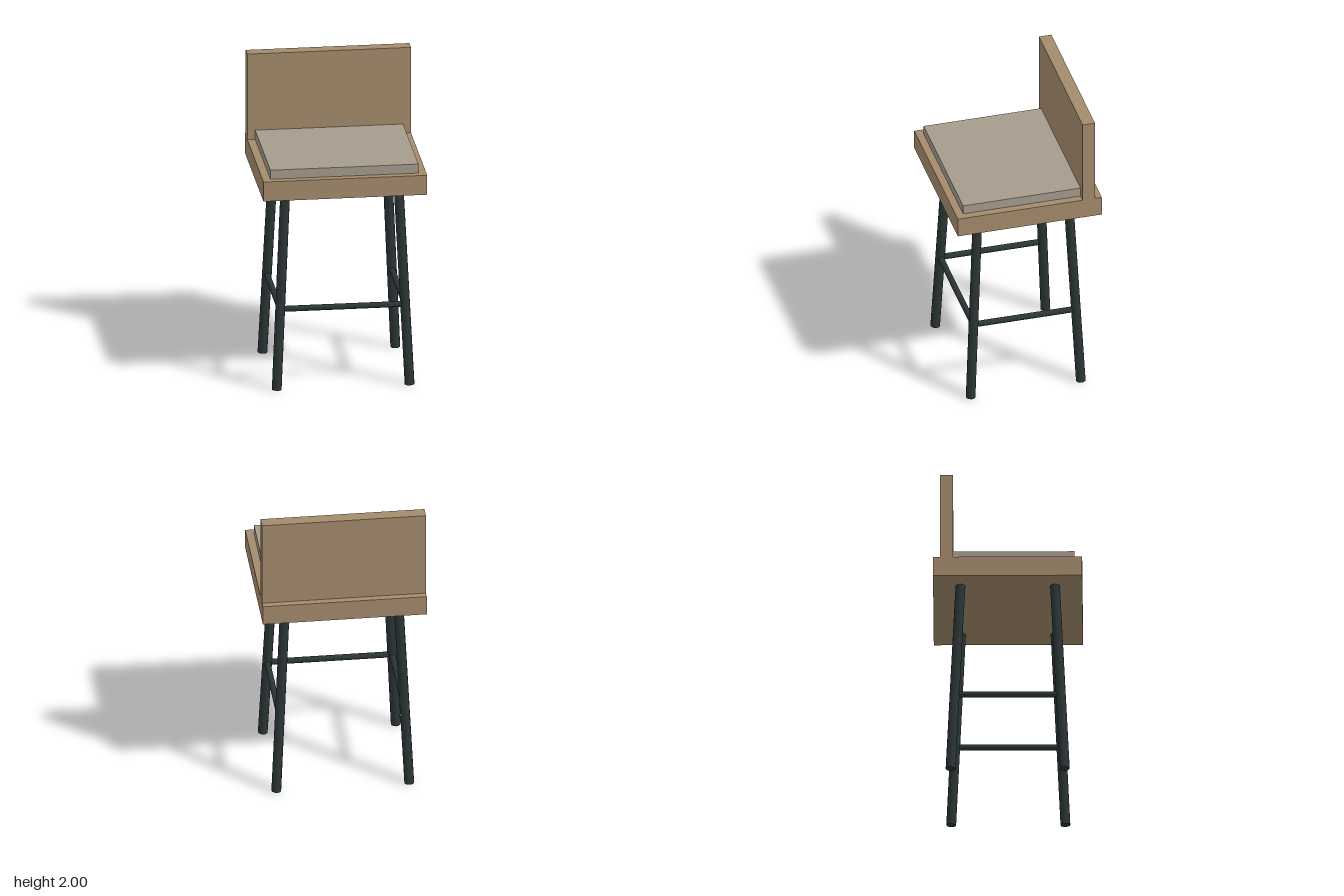
import * as THREE from 'three';

export function createModel() {
  const model = new THREE.Group();
  model.name = 'barStool';

  const wood = new THREE.MeshStandardMaterial({ color: 0xa48b6c });
  const fabric = new THREE.MeshStandardMaterial({ color: 0xa69c8d });
  const metal = new THREE.MeshStandardMaterial({ color: 0x2b3536 });

  // Box given by its minimum and maximum corners
  function slab(name, material, min, max) {
    const size = max.map((v, i) => v - min[i]);
    const mesh = new THREE.Mesh(new THREE.BoxGeometry(...size), material);
    mesh.position.set(...max.map((v, i) => (v + min[i]) / 2));
    mesh.name = name;
    model.add(mesh);
  }

  // Round bar running between two points
  function bar(name, radius, a, b) {
    const dir = b.clone().sub(a);
    const geometry = new THREE.CylinderGeometry(radius, radius, dir.length(), 12);
    const mesh = new THREE.Mesh(geometry, metal);
    mesh.position.copy(a).add(b).multiplyScalar(0.5);
    mesh.quaternion.setFromUnitVectors(new THREE.Vector3(0, 1, 0), dir.normalize());
    mesh.name = name;
    model.add(mesh);
  }

  // Seat, cushion and backrest
  slab('seat', wood, [-0.52, 1.3, -0.47], [0.52, 1.43, 0.47]);
  slab('cushion', fabric, [-0.47, 1.43, -0.345], [0.47, 1.49, 0.422]);
  slab('backrest', wood, [-0.52, 1.43, -0.426], [0.52, 2, -0.345]);

  // Point on the centre line of a splayed leg at height y
  const legTop = 1.3;
  const legPoint = (sx, sz, y) => new THREE.Vector3(
    sx * (0.422 - 0.062 * y / legTop), y, sz * (0.36 - 0.062 * y / legTop));

  // Four legs
  for (const [sx, side] of [[1, 'Left'], [-1, 'Right']]) {
    for (const [sz, end] of [[1, 'front'], [-1, 'back']]) {
      bar(`${end}${side}Leg`, 0.031, legPoint(sx, sz, 0.002), legPoint(sx, sz, legTop));
    }
  }

  // Footrest rungs on the front and both sides; the back stays open
  const rungY = 0.53, rungRadius = 0.019;
  bar('frontRung', rungRadius, legPoint(-1, 1, rungY), legPoint(1, 1, rungY));
  bar('leftRung', rungRadius, legPoint(1, -1, rungY), legPoint(1, 1, rungY));
  bar('rightRung', rungRadius, legPoint(-1, -1, rungY), legPoint(-1, 1, rungY));

  return model;
}
